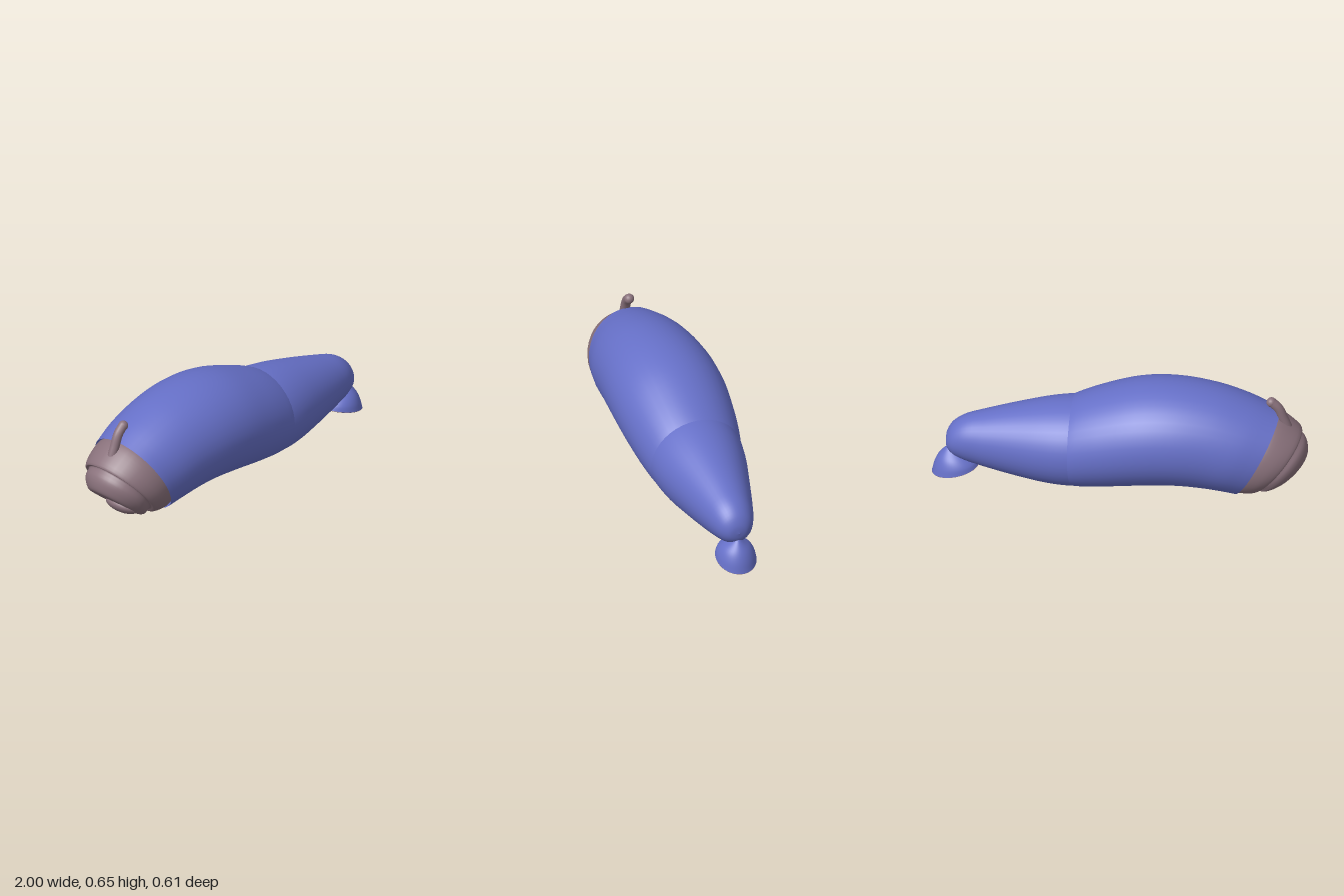
import * as THREE from 'three';

// Skin through tilted oval rings: each row is [topX, topY, bottomX, bottomY, halfWidth]
function loft(rows, steps = 4, sides = 40) {
  const top = new THREE.CatmullRomCurve3(rows.map(r => new THREE.Vector3(r[0], r[1], 0)), false, 'centripetal');
  const bottom = new THREE.CatmullRomCurve3(rows.map(r => new THREE.Vector3(r[2], r[3], 0)), false, 'centripetal');
  const width = new THREE.CatmullRomCurve3(rows.map((r, i) => new THREE.Vector3(i * 0.1, r[4], 0)), false, 'centripetal');
  const n = (rows.length - 1) * steps, pos = [], index = [];
  for (let i = 0; i <= n; i++) {
    const t = top.getPoint(i / n), b = bottom.getPoint(i / n), w = Math.max(0, width.getPoint(i / n).y);
    for (let j = 0; j < sides; j++) {
      const a = j / sides * Math.PI * 2, c = Math.cos(a);
      pos.push((t.x + b.x) / 2 + c * (t.x - b.x) / 2, (t.y + b.y) / 2 + c * (t.y - b.y) / 2, Math.sin(a) * w);
      if (i < n) {
        const p = i * sides + j, q = i * sides + (j + 1) % sides;
        index.push(p, q, p + sides, q, q + sides, p + sides);
      }
    }
  }
  const g = new THREE.BufferGeometry();
  g.setAttribute('position', new THREE.Float32BufferAttribute(pos, 3));
  g.setIndex(index);
  g.computeVertexNormals();
  return g;
}

export function createModel() {
  const group = new THREE.Group();
  const blue = new THREE.MeshStandardMaterial({ color: 0x6670c8, side: THREE.DoubleSide });
  blue.name = 'blue skin';
  const mauve = new THREE.MeshStandardMaterial({ color: 0x8a727c, side: THREE.DoubleSide });
  mauve.name = 'mauve skin';
  const add = (name, geometry, material) => {
    const m = new THREE.Mesh(geometry, material);
    m.name = name;
    group.add(m);
    return m;
  };

  // Arched front body, open at the slanted collar
  add('frontBody', loft([
    [-0.85, 0.51, -0.61, 0.04, 0.25],
    [-0.70, 0.575, -0.52, 0.062, 0.277],
    [-0.52, 0.63, -0.41, 0.075, 0.292],
    [-0.30, 0.655, -0.29, 0.08, 0.305],
    [-0.10, 0.637, -0.12, 0.065, 0.305],
    [0.10, 0.573, 0.08, 0.037, 0.285],
    [0.25, 0.505, 0.24, 0.022, 0.255],
    [0.33, 0.45, 0.32, 0.04, 0.22],
  ]), blue);

  // Tapering rear body with a rounded tip
  add('rearBody', loft([
    [0.16, 0.505, 0.16, 0.03, 0.25],
    [0.25, 0.503, 0.25, 0.02, 0.253],
    [0.38, 0.483, 0.38, 0.024, 0.235],
    [0.55, 0.442, 0.55, 0.047, 0.193],
    [0.72, 0.393, 0.72, 0.08, 0.148],
    [0.83, 0.355, 0.82, 0.105, 0.117],
    [0.89, 0.31, 0.88, 0.13, 0.088],
    [0.918, 0.26, 0.915, 0.165, 0.05],
    [0.925, 0.215, 0.925, 0.213, 0.001],
  ]), blue);

  // Wrinkled head, from the muzzle up to the collar
  add('head', loft([
    [-0.885, 0.18, -0.88, 0.178, 0.001],
    [-0.935, 0.205, -0.83, 0.125, 0.07],
    [-0.96, 0.23, -0.79, 0.09, 0.12],
    [-0.997, 0.265, -0.765, 0.065, 0.145],
    [-1.0, 0.315, -0.735, 0.058, 0.175],
    [-0.985, 0.355, -0.73, 0.075, 0.188],
    [-0.955, 0.385, -0.715, 0.08, 0.192],
    [-0.97, 0.40, -0.695, 0.055, 0.213],
    [-0.92, 0.45, -0.66, 0.05, 0.236],
    [-0.84, 0.50, -0.61, 0.052, 0.244],
    [-0.79, 0.50, -0.57, 0.08, 0.235],
  ]), mauve);

  // Soft chin fold under the muzzle
  const chin = add('chinFold', new THREE.SphereGeometry(1, 24, 16), mauve);
  chin.scale.set(0.075, 0.04, 0.1);
  chin.position.set(-0.815, 0.12, 0);
  chin.rotation.z = -0.5;

  // Short stalk on the forehead with a rounded tip
  const stalkPath = new THREE.CatmullRomCurve3([[-0.91, 0.40], [-0.875, 0.49], [-0.845, 0.56], [-0.808, 0.597]]
    .map(p => new THREE.Vector3(p[0], p[1], 0)));
  add('stalk', new THREE.TubeGeometry(stalkPath, 16, 0.026, 14), mauve);
  add('stalkTip', new THREE.SphereGeometry(0.027, 16, 12), mauve).position.set(-0.808, 0.595, 0);

  // Hollow scoop-shaped tail, opening downwards
  add('tail', loft([
    [0.905, 0.178, 0.895, 0.178, 0.002],
    [0.935, 0.145, 0.85, 0.15, 0.035],
    [0.965, 0.105, 0.80, 0.12, 0.075],
    [0.985, 0.06, 0.76, 0.09, 0.098],
    [0.998, 0.004, 0.748, 0.068, 0.108],
  ]), blue);

  // Thin lip around the tail opening
  add('tailLip', loft([
    [0.999, 0.003, 0.747, 0.066, 0.108],
    [0.992, 0.001, 0.755, 0.061, 0.101],
    [0.978, 0.012, 0.768, 0.07, 0.088],
  ]), mauve);
  return group;
}
